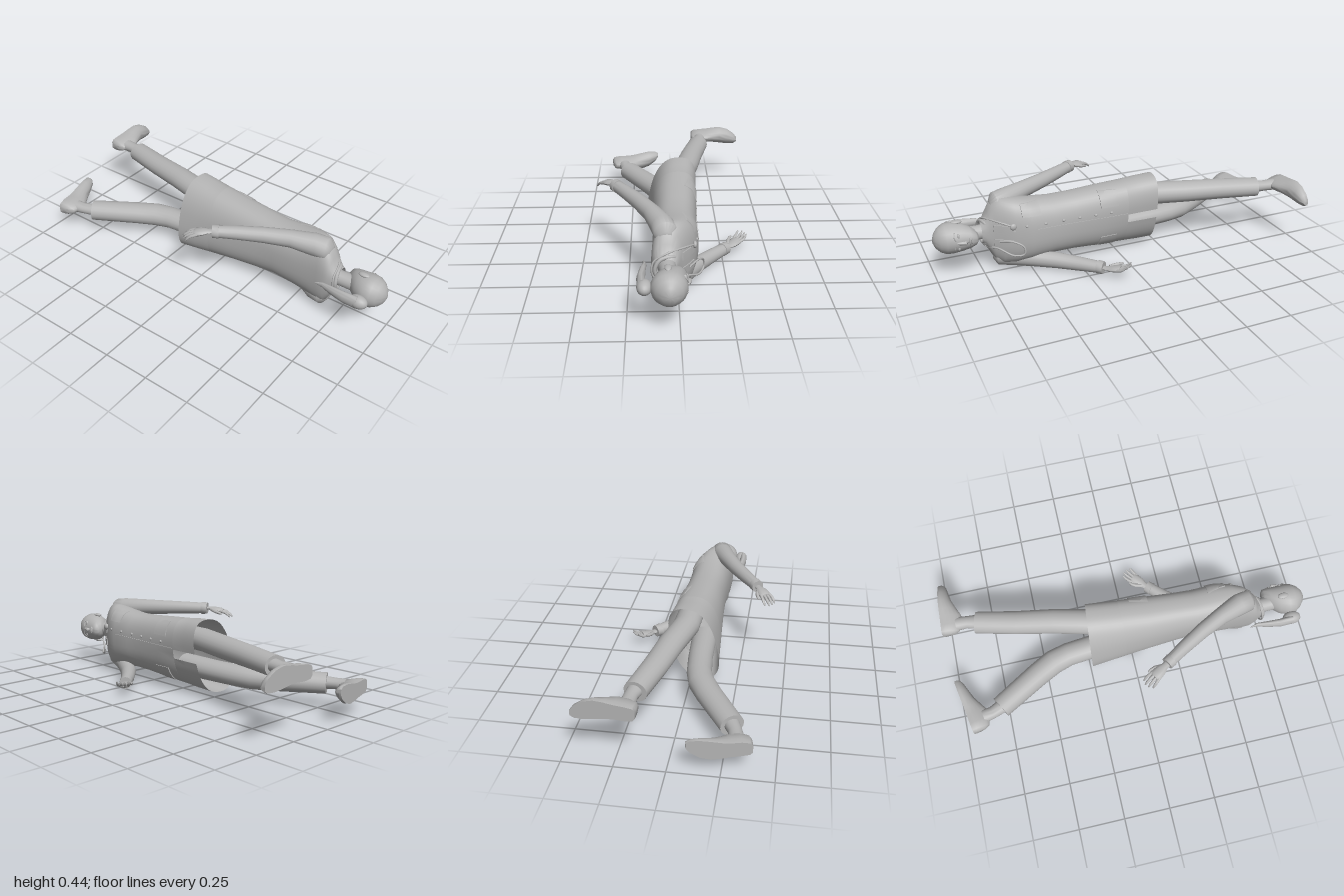
import * as THREE from 'three';
import { toCreasedNormals } from 'three/addons/utils/BufferGeometryUtils.js';

const V = (x, y, z) => new THREE.Vector3(x, y, z);

// Skin a list of rings; caps close the ends, open leaves the ring's seam unjoined
function loft(rings, { caps = true, open = false, crease = 0.9 } = {}) {
  const n = rings[0].length, pos = [], idx = [];
  rings.forEach(r => r.forEach(p => pos.push(p.x, p.y, p.z)));
  for (let i = 0; i < rings.length - 1; i++)
    for (let j = 0; j < (open ? n - 1 : n); j++) {
      const k = (j + 1) % n, a = i * n + j, b = i * n + k, c = b + n, d = a + n;
      idx.push(a, b, c, a, c, d);
    }
  if (caps) [0, rings.length - 1].forEach(i => {
    const m = V(0, 0, 0);
    rings[i].forEach(p => m.addScaledVector(p, 1 / n));
    const c = pos.length / 3;
    pos.push(m.x, m.y, m.z);
    for (let j = 0; j < n; j++) {
      const a = i * n + j, b = i * n + (j + 1) % n;
      if (i) idx.push(c, a, b); else idx.push(c, b, a);
    }
  });
  const g = new THREE.BufferGeometry();
  g.setAttribute('position', new THREE.Float32BufferAttribute(pos, 3));
  g.setIndex(idx);
  return toCreasedNormals(g, crease);
}

// Limb along [x, y, z, radius] points; flat scales its thickness in y
function limb(pts, flat = 1, seg = 20) {
  const c = pts.map(p => V(p[0], p[1], p[2]));
  return loft(pts.map((p, i) => {
    const t = c[Math.min(i + 1, c.length - 1)].clone().sub(c[Math.max(i - 1, 0)]);
    const n = V(0, 1, 0).cross(t).normalize();
    return Array.from({ length: seg }, (_, j) => {
      const a = j / seg * Math.PI * 2;
      return c[i].clone().addScaledVector(n, Math.cos(a) * p[3])
        .add(V(0, Math.sin(a) * p[3] * flat, 0));
    });
  }));
}

// Coat cross-sections: z, centre x, half depth, half width, twist, half slit angle
const MID = 0.22, POW = 2.5;
const COAT = [
  [-0.225, -0.015, 0.125, 0.205, 0.045, 0.08], [-0.13, -0.013, 0.123, 0.198, 0.036, 0.08],
  [-0.041, -0.012, 0.122, 0.188, 0.028, 0.08], [-0.04, -0.012, 0.122, 0.188, 0.028, 0],
  [0.1, -0.01, 0.12, 0.177, 0.015, 0], [0.25, -0.01, 0.113, 0.165, 0.008, 0],
  [0.37, -0.01, 0.112, 0.16, 0, 0], [0.5, -0.012, 0.115, 0.172, 0, 0],
  [0.58, -0.022, 0.105, 0.185, 0, 0], [0.64, -0.04, 0.09, 0.19, 0, 0],
  [0.68, -0.055, 0.077, 0.165, 0, 0], [0.705, -0.06, 0.067, 0.115, 0, 0],
  [0.725, -0.06, 0.058, 0.075, 0, 0], [0.745, -0.06, 0.05, 0.056, 0, 0]];
const spow = v => Math.sign(v) * Math.abs(v) ** (2 / POW);

function coat() {
  return loft(COAT.map(([z, cx, rx, ry, tw, gap]) => Array.from({ length: 49 }, (_, j) => {
    const a = gap + j / 48 * (Math.PI * 2 - 2 * gap);
    const c = spow(Math.cos(a)), s = spow(Math.sin(a)), x = cx + rx * c + tw * s;
    return V(x, MID + ry * s, z + (z < -0.2 ? 0.09 * x : 0));
  })), { caps: false, open: true });
}

// Depth of the coat's front surface at a given height and width
function frontX(y, z) {
  let i = 0;
  while (i < COAT.length - 2 && COAT[i + 1][0] < z) i++;
  const k = (z - COAT[i][0]) / (COAT[i + 1][0] - COAT[i][0]);
  const [, cx, rx, ry, tw] = COAT[i].map((v, q) => v + (COAT[i + 1][q] - v) * k);
  const v = THREE.MathUtils.clamp((y - MID) / ry, -0.99, 0.99);
  return cx + tw * v + rx * (1 - Math.abs(v) ** POW) ** (1 / POW);
}

// Thin panel that follows the coat's front
function panel(y0, y1, z0, z1, lift = 0.006) {
  const g = new THREE.BoxGeometry(0.008, y1 - y0, z1 - z0, 1, 5, 5), p = g.attributes.position;
  for (let i = 0; i < p.count; i++) {
    const y = p.getY(i) + (y0 + y1) / 2, z = p.getZ(i) + (z0 + z1) / 2;
    p.setXYZ(i, frontX(y, z) + (p.getX(i) > 0 ? lift : -0.002), y, z);
  }
  return toCreasedNormals(g, 0.6);
}

// Shoe along +x with a flat sole: position, half width, height, side shift
function shoe(side) {
  const st = [[0, 0.02, 0.07, 0], [0.012, 0.034, 0.092, 0], [0.05, 0.04, 0.108, 0], [0.1, 0.041, 0.11, 0.004],
    [0.14, 0.046, 0.09, 0.006], [0.19, 0.053, 0.066, 0.004], [0.24, 0.05, 0.052, -0.006],
    [0.285, 0.034, 0.04, -0.02], [0.305, 0.014, 0.026, -0.028]];
  return loft(st.map(([x, w, h, dy]) => Array.from({ length: 20 }, (_, j) => {
    const a = j / 20 * Math.PI * 2, s = Math.sin(a), c = Math.cos(a);
    const up = s > 0 ? 0.25 + 0.75 * s : Math.max(0, 0.25 + s);
    return V(x, side * dy + w * (s > 0 ? c * (1 - 0.2 * s) : spow(c)), h * up);
  })), { crease: 0.8 });
}

const HEAD = [[0.77, -0.03, 0.018, 0.02], [0.782, -0.05, 0.033, 0.04], [0.81, -0.085, 0.035, 0.06],
  [0.85, -0.12, 0.034, 0.075], [0.9, -0.138, 0.036, 0.083], [0.935, -0.133, 0.031, 0.081],
  [0.965, -0.113, 0.013, 0.066], [0.987, -0.085, -0.013, 0.042], [0.998, -0.06, -0.037, 0.014]];

export function createModel() {
  const model = new THREE.Group();
  const grey = new THREE.MeshStandardMaterial({ color: 0xb4b4b4, side: THREE.DoubleSide });
  grey.name = 'plain grey';
  const add = (name, geo, parent = model) => {
    const m = new THREE.Mesh(geo, grey);
    m.name = name;
    parent.add(m);
    return m;
  };
  const blob = (name, x, y, z, sx, sy, sz) => {
    const m = add(name, new THREE.SphereGeometry(1, 20, 14));
    m.position.set(x, y, z);
    m.scale.set(sx, sy, sz);
    return m;
  };
  const tube = (name, pts, r, seg = 40) => add(name,
    new THREE.TubeGeometry(new THREE.CatmullRomCurve3(pts), seg, r, 8));

  // Coat with pockets, front edge, buttons and collar
  add('coat', coat());
  add('chestPocket', panel(0.325, 0.385, 0.45, 0.55));
  for (const s of [-1, 1]) {
    add('hipPocket', panel(MID + s * 0.13 - 0.04, MID + s * 0.13 + 0.04, 0.02, 0.12));
    add('lapel', panel(MID + s * 0.04 - 0.02, MID + s * 0.04 + 0.02, 0.6, 0.69));
  }
  add('frontEdge', panel(0.247, 0.253, -0.035, 0.6, 0.004));
  for (const z of [0.06, 0.15, 0.24, 0.33, 0.43, 0.53])
    blob('button', frontX(0.275, z), 0.275, z, 0.006, 0.008, 0.008);
  tube('collar', [V(0, 0.2, 0.69), V(-0.03, 0.16, 0.725), V(-0.09, 0.17, 0.74), V(-0.115, 0.22, 0.745),
    V(-0.09, 0.27, 0.74), V(-0.03, 0.28, 0.725), V(0, 0.24, 0.69)], 0.01);

  // Head, face and hair
  add('neck', limb([[-0.06, 0.22, 0.7, 0.045], [-0.055, 0.22, 0.75, 0.039], [-0.05, 0.22, 0.83, 0.042]]));
  add('head', loft(HEAD.map(([z, x0, x1, ry]) => Array.from({ length: 28 }, (_, j) => {
    const a = j / 28 * Math.PI * 2;
    return V((x0 + x1) / 2 + (x1 - x0) / 2 * Math.cos(a), MID + ry * Math.sin(a), z);
  })), { crease: 1.5 }));
  add('nose', limb([[0.034, MID, 0.885, 0.006], [0.04, MID, 0.862, 0.01], [0.043, MID, 0.845, 0.012], [0.034, MID, 0.838, 0.008]]));
  blob('upperLip', 0.032, MID, 0.819, 0.009, 0.022, 0.005);
  blob('lowerLip', 0.031, MID, 0.81, 0.009, 0.018, 0.005);
  for (const s of [-1, 1]) {
    blob('eye', 0.022, MID + s * 0.034, 0.877, 0.009, 0.014, 0.008);
    tube('eyebrow', [V(0.036, MID + s * 0.016, 0.894), V(0.03, MID + s * 0.036, 0.9), V(0.014, MID + s * 0.056, 0.894)], 0.003, 10);
    blob('ear', -0.055, MID + s * 0.081, 0.868, 0.017, 0.01, 0.03);
  }
  blob('hairBun', -0.163, 0.22, 0.9, 0.036, 0.035, 0.05);
  add('ponytail', limb([[-0.175, 0.222, 0.9, 0.022], [-0.18, 0.224, 0.83, 0.02],
    [-0.172, 0.226, 0.75, 0.015], [-0.163, 0.226, 0.7, 0.009], [-0.17, 0.226, 0.66, 0.002]], 1.6));

  // Stethoscope around the neck
  const chestX = frontX(0.28, 0.6);
  tube('stethoscopeTube', [V(chestX + 0.008, 0.28, 0.6), V(0.035, 0.3, 0.665), V(-0.05, 0.3, 0.725),
    V(-0.12, 0.26, 0.735), V(-0.13, 0.22, 0.74), V(-0.12, 0.18, 0.735), V(-0.05, 0.14, 0.725),
    V(0.035, 0.15, 0.675), V(0.1, 0.125, 0.61), V(0.125, 0.135, 0.56), V(0.125, 0.175, 0.56),
    V(0.1, 0.205, 0.61), V(0.055, 0.2, 0.67)], 0.005, 90);
  blob('stethoscopeDisc', chestX + 0.01, 0.28, 0.6, 0.011, 0.018, 0.018);

  // Arms: sleeve, cuff and hand; side is the direction in which the palm curls
  const arms = [
    { name: 'right', curl: 1, sleeve: [[-0.06, 0.08, 0.685, 0.03], [-0.055, 0.07, 0.66, 0.058], [-0.04, 0.065, 0.6, 0.06],
      [0.02, 0.052, 0.49, 0.05], [0.1, 0.043, 0.365, 0.043], [0.19, 0.042, 0.262, 0.037], [0.265, 0.044, 0.185, 0.031]] },
    { name: 'left', curl: -1, sleeve: [[-0.06, 0.36, 0.685, 0.03], [-0.06, 0.37, 0.66, 0.058], [-0.075, 0.377, 0.6, 0.06],
      [-0.125, 0.393, 0.48, 0.046], [-0.185, 0.398, 0.36, 0.041], [-0.255, 0.402, 0.24, 0.036], [-0.315, 0.404, 0.145, 0.031]] }];
  for (const { name, curl, sleeve } of arms) {
    add(name + 'Sleeve', limb(sleeve));
    const e = sleeve[sleeve.length - 1], b = sleeve[sleeve.length - 2];
    const d = V(e[0] - b[0], 0, e[2] - b[2]).normalize(), n = V(d.z * -curl, 0, d.x * curl);
    const at = (along, across, up) => V(e[0], e[1], e[2]).addScaledVector(d, along)
      .addScaledVector(n, across).add(V(0, up * curl, 0));
    const part = (label, pts, flat) => add(label, limb(pts.map(([a, c, u, r]) => [...at(a, c, u).toArray(), r]), flat, 12));
    part(name + 'Cuff', [[-0.022, 0, 0, 0.036], [0.012, 0, 0, 0.034]]);
    part(name + 'Palm', [[0, 0, 0, 0.019], [0.03, 0, 0, 0.019], [0.06, 0, 0.004, 0.03], [0.095, 0, 0.01, 0.033], [0.108, 0, 0.014, 0.026]], 0.48);
    for (let i = 0; i < 4; i++) {
      const c = (i - 1.5) * 0.016, L = [0.055, 0.066, 0.062, 0.05][i];
      part(name + 'Finger', [[0.095, c, 0.01, 0.009], [0.1 + L * 0.45, c * 1.2, 0.018, 0.008],
        [0.1 + L * 0.8, c * 1.3, 0.031, 0.007], [0.1 + L, c * 1.3, 0.042, 0.004]]);
    }
    part(name + 'Thumb', [[0.04, -0.012, 0.004, 0.011], [0.07, -0.034, 0.013, 0.01], [0.095, -0.042, 0.02, 0.008], [0.108, -0.043, 0.024, 0.004]]);
  }

  // Legs: trousers, ankle and shoe, one stepping forward, one bent back
  const legs = [
    { name: 'left', side: 1, y: 0.305, heel: [0.133, -1], tilt: -0.05, ankle: [[0.172, -0.8], [0.183, -0.86], [0.185, -0.92]],
      trouser: [[0.02, 0.312, 0.02, 0.07], [0.03, 0.312, -0.2, 0.07], [0.08, 0.31, -0.4, 0.068], [0.12, 0.306, -0.6, 0.064], [0.171, 0.302, -0.815, 0.06]] },
    { name: 'right', side: -1, y: 0.135, heel: [-0.392, -0.945], tilt: 0.185, ankle: [[-0.27, -0.76], [-0.3, -0.83], [-0.31, -0.88]],
      trouser: [[-0.04, 0.13, 0.02, 0.07], [-0.05, 0.13, -0.22, 0.066], [-0.064, 0.13, -0.36, 0.066], [-0.09, 0.13, -0.45, 0.069],
        [-0.14, 0.13, -0.545, 0.067], [-0.28, 0.132, -0.78, 0.062]] }];
  for (const { name, side, y, heel, tilt, ankle, trouser } of legs) {
    add(name + 'Trouser', limb(trouser, 0.88));
    add(name + 'Ankle', limb(ankle.map(([x, z], i) => [x, y, z, [0.04, 0.034, 0.038][i]]), 0.85));
    const s = add(name + 'Shoe', shoe(side));
    s.position.set(heel[0], y, heel[1]);
    s.rotation.y = tilt;
  }
  return model;
}
